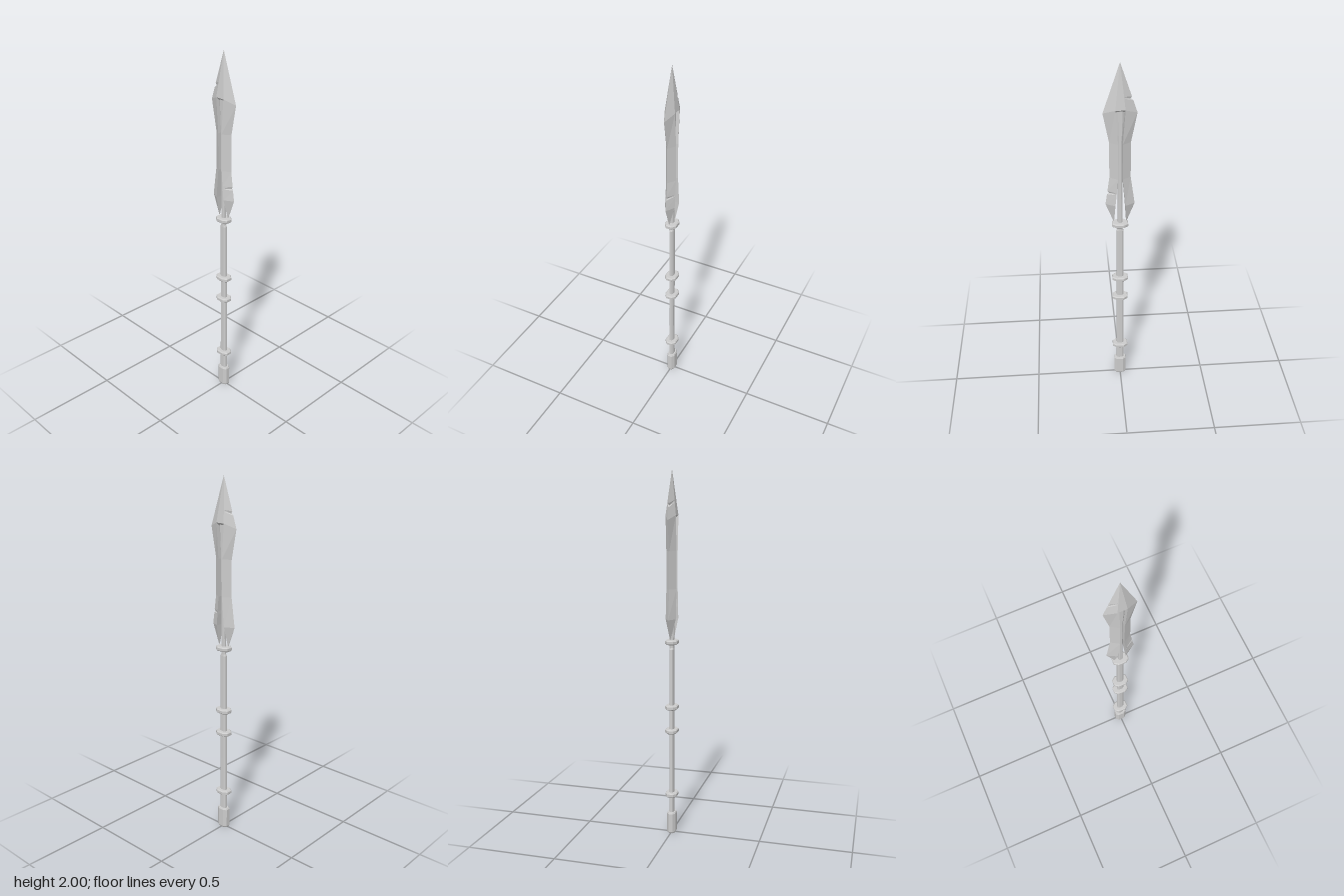
import * as THREE from 'three';

const mat = new THREE.MeshStandardMaterial({ color: 0xcccccc, flatShading: true, side: THREE.DoubleSide });

// Joins rows of points (counter-clockwise from above, rows rising) into a closed faceted solid.
function loft(rows) {
  const pos = [];
  const tri = (a, b, c) => {
    const n = b.clone().sub(a).cross(c.clone().sub(a));
    if (n.length() > 1e-9) for (const p of [a, b, c]) pos.push(p.x, p.y, p.z);
  };
  const n = rows[0].length;
  for (let i = 0; i < rows.length - 1; i++) {
    for (let j = 0; j < n; j++) {
      const k = (j + 1) % n;
      tri(rows[i][j], rows[i][k], rows[i + 1][k]);
      tri(rows[i][j], rows[i + 1][k], rows[i + 1][j]);
    }
  }
  const top = rows[rows.length - 1];
  for (let j = 1; j < n - 1; j++) {
    tri(rows[0][0], rows[0][j + 1], rows[0][j]);
    tri(top[0], top[j], top[j + 1]);
  }
  const g = new THREE.BufferGeometry();
  g.setAttribute('position', new THREE.Float32BufferAttribute(pos, 3));
  g.computeVertexNormals();
  return g;
}

const V = (x, y, z) => new THREE.Vector3(x, y, z);

// Flattened octagon section: half width w, half depth d.
function octRow(y, w, d) {
  const c = 0.5;
  return [[w, d * c], [w, -d * c], [w * c, -d], [-w * c, -d], [-w, -d * c], [-w, d * c], [-w * c, d], [w * c, d]]
    .map(([x, z]) => V(x, y, z));
}

export function createModel() {
  const group = new THREE.Group();
  const add = (name, geometry) => {
    const m = new THREE.Mesh(geometry, mat);
    m.name = name;
    group.add(m);
  };
  const octSolid = (name, rows) => add(name, loft(rows.map(r => octRow(...r))));

  // Handle
  octSolid('pommel', [[0, 0.03, 0.02], [0.008, 0.034, 0.024], [0.114, 0.034, 0.024], [0.122, 0.03, 0.02]]);
  octSolid('shaft', [[0.11, 0.02, 0.013], [0.44, 0.019, 0.012], [1.05, 0.018, 0.012], [1.06, 0.013, 0.011]]);
  for (const y of [0.227, 0.595, 0.73, 1.092]) {
    octSolid('shaftRing', [
      [y - 0.012, 0.038, 0.028], [y - 0.007, 0.043, 0.033],
      [y + 0.007, 0.043, 0.033], [y + 0.012, 0.038, 0.028],
    ]);
  }

  // Rod running up the slot of the blade, flaring under the tip
  octSolid('bladeCore', [[1.05, 0.012, 0.011], [1.58, 0.012, 0.014], [1.76, 0.024, 0.016]]);

  // Two blade halves: [outer y, outer x, inner y, inner x, inner half depth]
  const lower = [
    [1.11, 0.035, 1.11, 0.032, 0.003],
    [1.22, 0.077, 1.22, 0.026, 0.028],
  ];
  const nick = [
    [1.28, 0.068, 1.28, 0.02, 0.028],
    [1.288, 0.058, 1.288, 0.0195, 0.028],
    [1.298, 0.066, 1.298, 0.019, 0.028],
  ];
  const upper = [
    [1.38, 0.055, 1.38, 0.012, 0.028],
    [1.58, 0.055, 1.58, 0.012, 0.028],
    [1.74, 0.086, 1.765, 0.025, 0.028],
  ];
  for (const side of [1, -1]) {
    const rows = side > 0 ? [...lower, ...nick, ...upper] : [...lower, ...upper];
    add(side > 0 ? 'leftBlade' : 'rightBlade', loft(rows.map(([yo, xo, yi, xi, d]) => [
      V(side * xo, yo, 0), V(side * xi, yi, -side * d), V(side * xi, yi, side * d),
    ])));
  }

  // Pointed tip with a small nick in the right edge: [fraction of the way to the point, nick depth]
  const tipRows = [[0, 0], [0.25, 0], [0.285, 0.011], [0.33, 0], [1, 0]].map(([t, cut]) => {
    const s = 1 - t;
    const ye = 2 - 0.26 * s, yi = 2 - 0.235 * s;
    const x = 0.025 * s, z = 0.028 * s;
    return [
      V(0.086 * s, ye, 0), V(x, yi, -z), V(-x, yi, -z),
      V(-0.086 * s + cut, ye, 0), V(-x, yi, z), V(x, yi, z),
    ];
  });
  add('bladeTip', loft(tipRows));

  return group;
}
